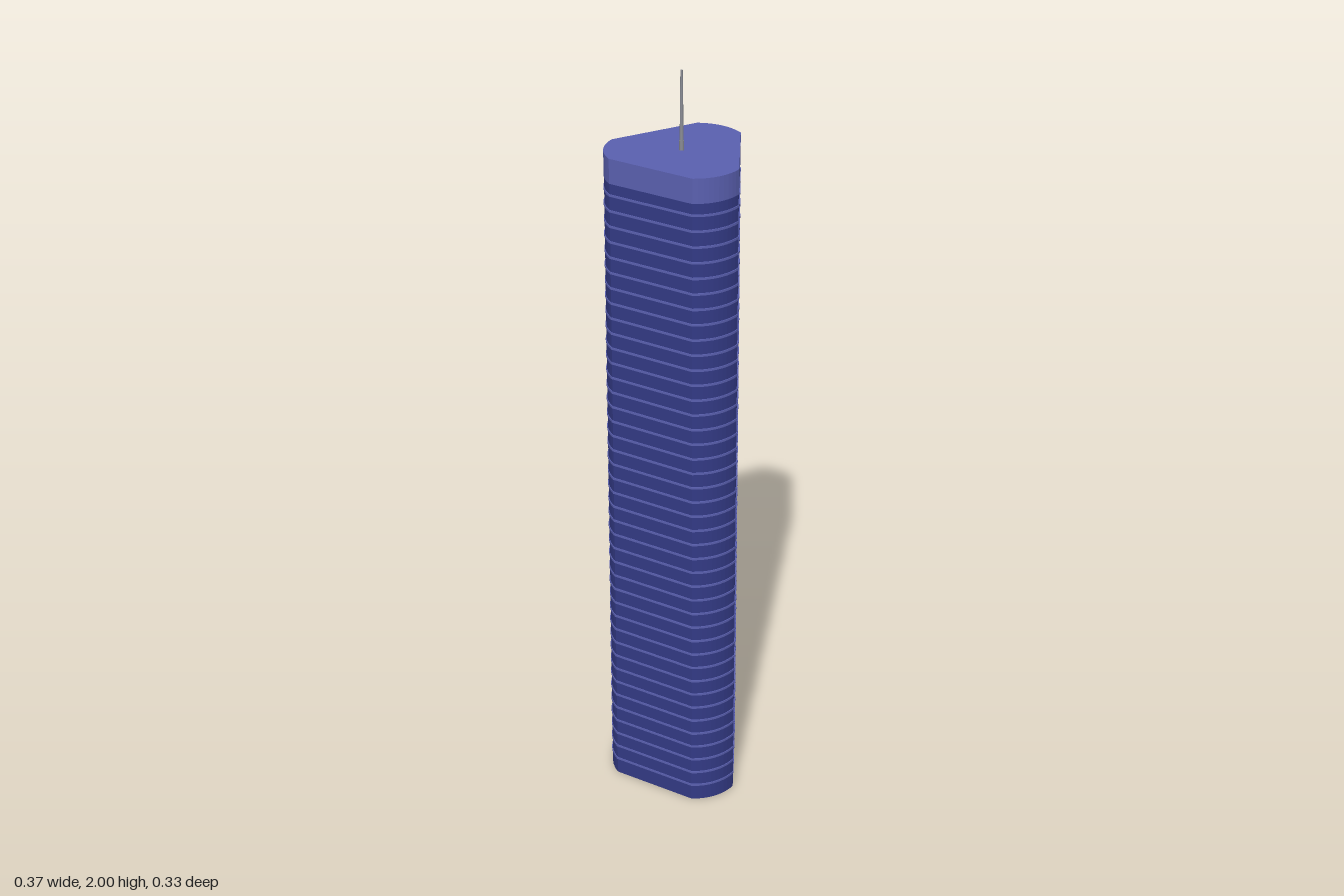
import * as THREE from 'three';

const CENTRE_Z = -0.025;

// Rounded triangle: three 60-degree arcs joined by straight sides
function plan(grow = 0) {
  const points = [];
  const radius = 0.127 + grow, offset = 0.064, steps = 10;
  for (let corner = 0; corner < 3; corner++) {
    const axis = -Math.PI / 2 + corner * Math.PI * 2 / 3;
    for (let i = 0; i <= steps; i++) {
      const a = axis + (i / steps - 0.5) * Math.PI / 3;
      points.push(new THREE.Vector2(
        offset * Math.cos(axis) + radius * Math.cos(a),
        offset * Math.sin(axis) + radius * Math.sin(a)));
    }
  }
  return new THREE.Shape(points);
}

function slab(name, grow, y0, y1, material) {
  const geometry = new THREE.ExtrudeGeometry(plan(grow), { depth: y1 - y0, bevelEnabled: false });
  geometry.rotateX(-Math.PI / 2);
  const mesh = new THREE.Mesh(geometry, material);
  mesh.name = name;
  mesh.position.set(0, y0, CENTRE_Z);
  return mesh;
}

function rod(name, rTop, rBottom, y0, y1, material) {
  const mesh = new THREE.Mesh(new THREE.CylinderGeometry(rTop, rBottom, y1 - y0, 12), material);
  mesh.name = name;
  mesh.position.set(0, (y0 + y1) / 2, CENTRE_Z);
  return mesh;
}

export function createModel() {
  const glass = new THREE.MeshStandardMaterial({ color: 0x333a85 });
  glass.name = 'navy glass';
  const trim = new THREE.MeshStandardMaterial({ color: 0x5a60b0 });
  trim.name = 'periwinkle trim';
  const metal = new THREE.MeshStandardMaterial({ color: 0x8a8c94 });
  metal.name = 'grey metal';

  const tower = new THREE.Group();
  tower.name = 'tower';
  tower.add(slab('shaft', -0.001, 0, 1.73, glass));

  // Thin ledges between the floors
  const ledges = new THREE.Group();
  ledges.name = 'floorLedges';
  for (let i = 0; i < 41; i++) {
    const y = 0.0455 + i * 0.04135;
    ledges.add(slab('floorLedge', 0.001, y - 0.003, y + 0.003, trim));
  }
  tower.add(ledges);

  // Roof crown and mast
  tower.add(slab('crown', 0, 1.73, 1.795, trim));
  tower.add(rod('mastBase', 0.006, 0.006, 1.795, 1.82, metal));
  tower.add(rod('mast', 0.003, 0.005, 1.82, 2, metal));
  return tower;
}
